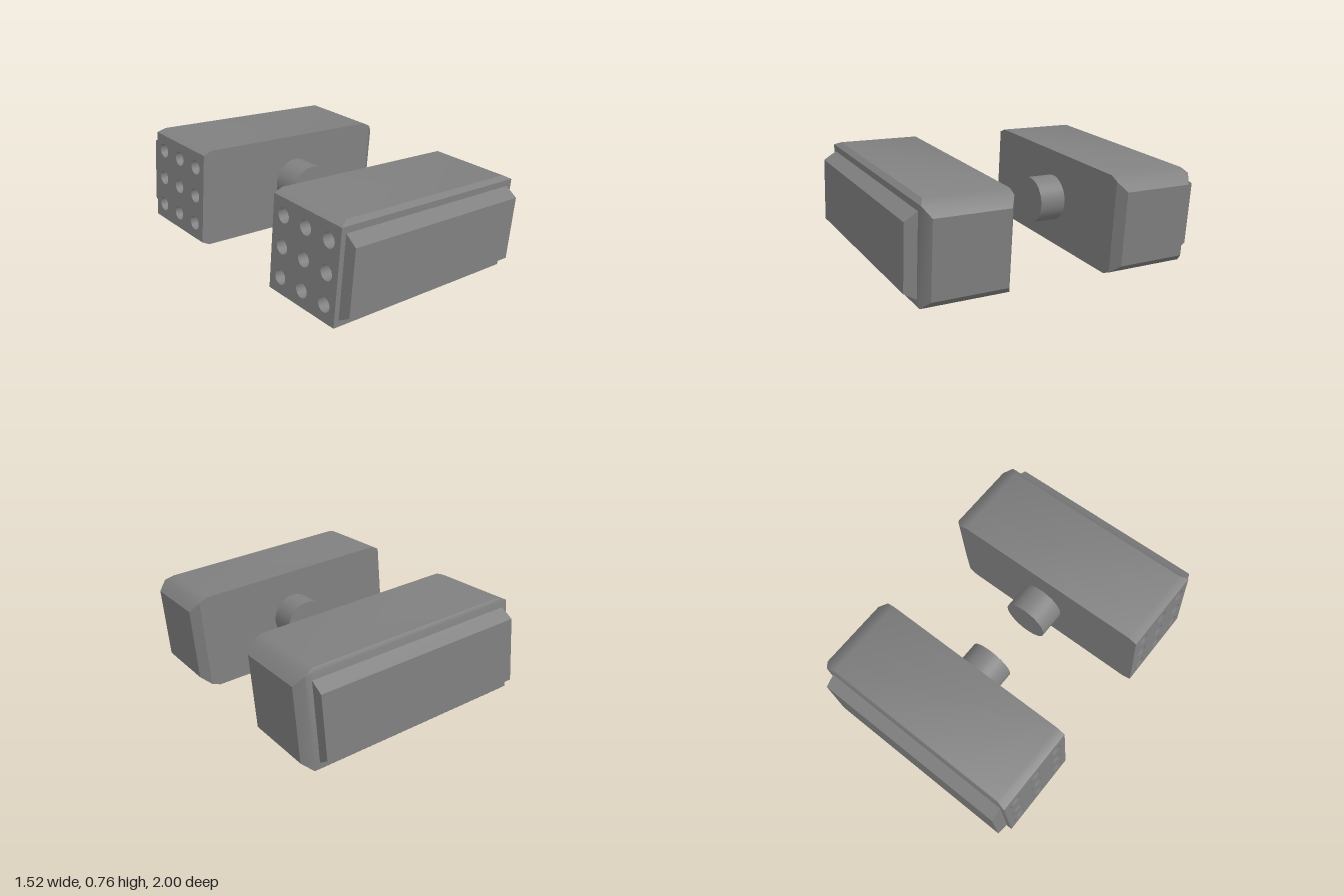
import * as THREE from 'three';
import { toCreasedNormals } from 'three/addons/utils/BufferGeometryUtils.js';

const grey = new THREE.MeshStandardMaterial({ color: 0x808080 });
const flat = new THREE.MeshStandardMaterial({ color: 0x808080, flatShading: true });
const inside = new THREE.MeshStandardMaterial({ color: 0x808080, side: THREE.DoubleSide });

const CENTRE_Y = 0.378, TILT = -0.096;
const FRONT_X = -0.737, Z_IN = 0.357, Z_OUT = 0.92, MID_Z = 0.64;

function part(name, geometry, material) {
  const mesh = new THREE.Mesh(geometry, material);
  mesh.name = name;
  return mesh;
}

// Cross-section ring at x: inner side, top, outer side, bottom, with bevels on the outer edges
function ring(x, h, zi, zo, top = 0, bottom = 0) {
  return [
    [zi, -h], [zi, h], [zo - top, h], [zo, h - (top && 0.025)],
    [zo, -h + (bottom && 0.025)], [zo - bottom, -h],
  ].map(([z, y]) => new THREE.Vector3(x, y, z));
}

// Skin joining the rings along x, closed at the far end, soft over shallow edges
function loft(rings) {
  const pos = [];
  const tri = (a, b, c) => {
    if (new THREE.Triangle(a, b, c).getArea() < 1e-7) return;
    for (const p of [a, b, c]) pos.push(p.x, p.y, p.z);
  };
  for (let i = 0; i < rings.length - 1; i++) {
    const a = rings[i], b = rings[i + 1];
    for (let j = 0; j < a.length; j++) {
      const k = (j + 1) % a.length;
      tri(a[j], a[k], b[j]);
      tri(a[k], b[k], b[j]);
    }
  }
  const end = rings[rings.length - 1];
  for (let j = 1; j < end.length - 1; j++) tri(end[0], end[j], end[j + 1]);
  const g = new THREE.BufferGeometry();
  g.setAttribute('position', new THREE.Float32BufferAttribute(pos, 3));
  return toCreasedNormals(g, 0.6);
}

function createPod(topBevel, bottomBevel) {
  const pod = new THREE.Group();

  // Bevelled casing
  pod.add(part('casing', loft([
    ring(FRONT_X, 0.294, Z_IN, Z_OUT),
    ring(-0.683, 0.319, Z_IN, Z_OUT, topBevel, bottomBevel),
    ring(0.623, 0.319, Z_IN, Z_OUT, topBevel, bottomBevel),
    ring(0.68, 0.294, Z_IN, Z_OUT),
    ring(0.741, 0.238, 0.40, 0.88),
  ]), grey));

  // Muzzle plate with a three by three grid of bores
  const plate = new THREE.Shape([
    [Z_IN, -0.294], [Z_OUT, -0.294], [Z_OUT, 0.294], [Z_IN, 0.294],
  ].map(([z, y]) => new THREE.Vector2(z, y)));
  const radius = 0.046, depth = 0.1;
  for (const dz of [-0.19, 0, 0.19]) {
    for (const y of [-0.19, 0, 0.19]) {
      const z = MID_Z + dz;
      plate.holes.push(new THREE.Path().absarc(z, y, radius, 0, Math.PI * 2, true));
      const wall = new THREE.CylinderGeometry(radius, radius, depth, 24, 1, true);
      wall.rotateZ(Math.PI / 2).translate(FRONT_X + depth / 2, y, z);
      pod.add(part('boreWall', wall, inside));
      const floor = new THREE.CircleGeometry(radius, 24);
      floor.rotateY(-Math.PI / 2).translate(FRONT_X + depth, y, z);
      pod.add(part('boreFloor', floor, grey));
    }
  }
  const face = new THREE.ShapeGeometry(plate, 12);
  face.rotateY(-Math.PI / 2).translate(FRONT_X, 0, 0);
  pod.add(part('muzzlePlate', face, grey));

  // Raised outer panel with sloping top and bottom
  const profile = new THREE.Shape([
    [-0.91, -0.255], [-0.91, 0.255], [-Z_OUT, 0.255],
    [-1, 0.203], [-1, -0.206], [-Z_OUT, -0.255],
  ].map(([z, y]) => new THREE.Vector2(z, y)));
  const panel = new THREE.ExtrudeGeometry(profile, { depth: 1.346, bevelEnabled: false });
  panel.rotateY(Math.PI / 2).translate(-0.704, 0, 0);
  pod.add(part('sidePanel', panel, flat));

  // Mounting stub on the inner side
  const stub = new THREE.CylinderGeometry(0.152, 0.152, 0.2, 32);
  stub.rotateX(Math.PI / 2).translate(0, 0, 0.275);
  pod.add(part('mountingStub', stub, grey));
  return pod;
}

export function createModel() {
  const model = new THREE.Group();
  model.name = 'launcherPods';
  model.position.y = CENTRE_Y;
  model.rotation.z = TILT;

  const frontPod = createPod(0.03, 0.03);
  frontPod.name = 'frontPod';

  // The rear pod is turned over, so its bottom edge becomes the top one
  const rearPod = createPod(0.03, 0.014);
  rearPod.name = 'rearPod';
  rearPod.rotation.x = Math.PI;

  model.add(frontPod, rearPod);
  const root = new THREE.Group();
  root.add(model);
  return root;
}
